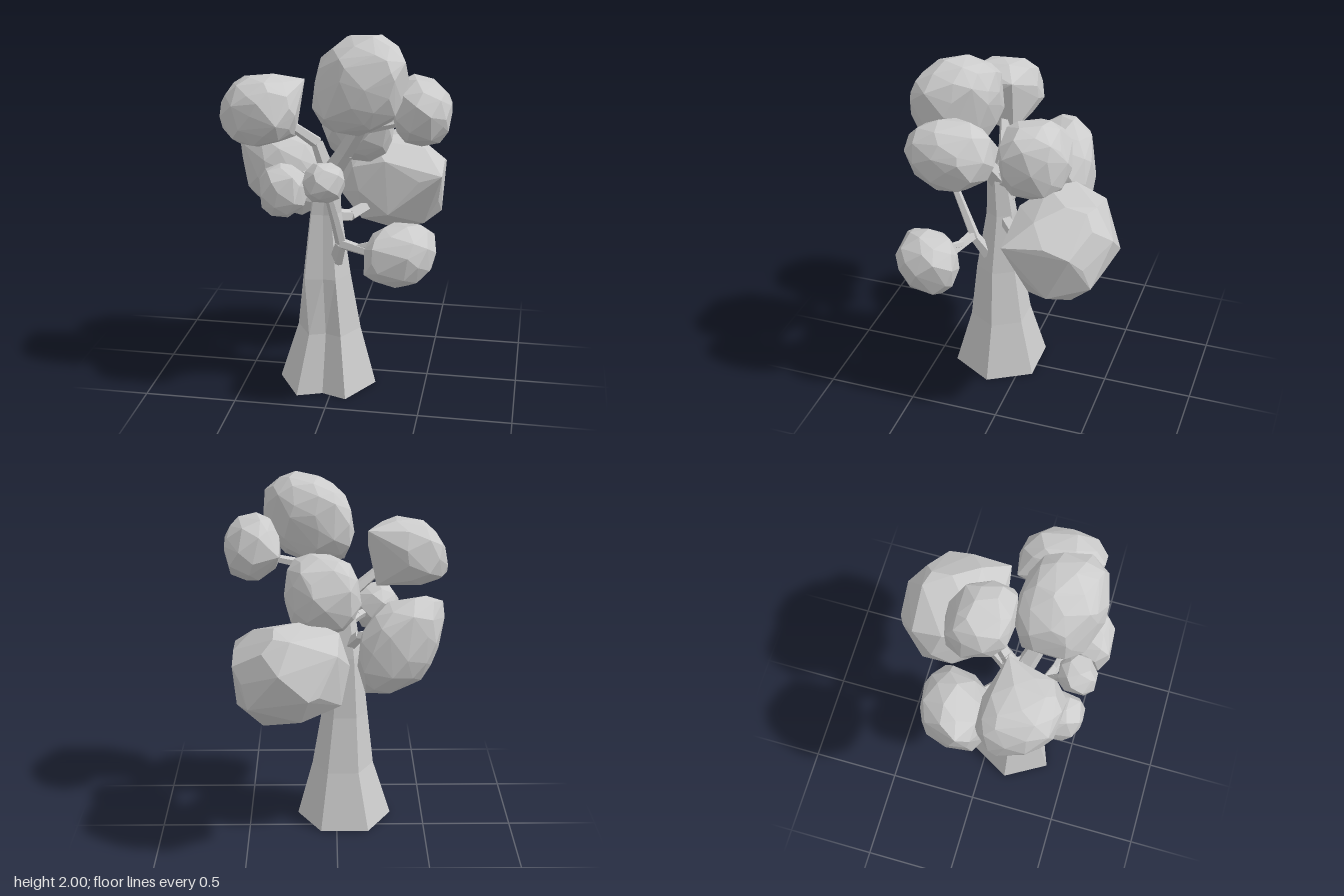
import * as THREE from 'three';
import { ConvexGeometry } from 'three/addons/geometries/ConvexGeometry.js';

const material = new THREE.MeshStandardMaterial({ color: 0xcccccc, flatShading: true, side: THREE.DoubleSide });

function seeded(seed) {
  let s = seed * 7919 + 17;
  return () => (s = (s * 16807) % 2147483647) / 2147483647;
}

function part(name, geometry) {
  const mesh = new THREE.Mesh(geometry, material);
  mesh.name = name;
  return mesh;
}

// Faceted leaf clump: a lumpy hull, skewed by (xy, xz, zy), fitted to its centre and half sizes,
// with a few extra corners that bulge out of it
function clump(name, centre, half, [xy, xz, zy], count, corners, seed) {
  const random = seeded(seed);
  const points = [];
  const boxy = (v) => Math.sign(v) * Math.abs(v) ** 0.84;
  for (let i = 0; i < count; i++) {
    const y = 1 - (2 * (i + 0.5)) / count;
    const a = i * 2.39996 + (random() - 0.5) * 0.5 + seed;
    const r = Math.sqrt(1 - y * y);
    const k = 0.97 + random() * 0.08;
    const p = new THREE.Vector3(boxy(r * Math.cos(a)), boxy(y), boxy(r * Math.sin(a))).multiplyScalar(k);
    points.push(new THREE.Vector3(p.x + xy * p.y + xz * p.z, p.y + xy * p.x + zy * p.z, p.z + xz * p.x + zy * p.y));
  }
  const bounds = new THREE.Box3().setFromPoints(points);
  const middle = bounds.getCenter(new THREE.Vector3());
  const scale = new THREE.Vector3(...half).multiplyScalar(2).divide(bounds.getSize(new THREE.Vector3()));
  for (const p of points) p.sub(middle).multiply(scale).add(new THREE.Vector3(...centre));
  for (const c of corners) points.push(new THREE.Vector3(...c));
  return part(name, new ConvexGeometry(points));
}

// Branch: tapered five-sided segments through a few points
function branch(name, path, r0, r1) {
  const group = new THREE.Group();
  group.name = name;
  const n = path.length - 1;
  for (let i = 0; i < n; i++) {
    const a = new THREE.Vector3(...path[i]);
    const d = new THREE.Vector3(...path[i + 1]).sub(a);
    const radius = (t) => r0 + (r1 - r0) * t;
    const geometry = new THREE.CylinderGeometry(radius((i + 1) / n), radius(i / n), d.length(), 5);
    const mesh = part(name + 'Segment', geometry);
    mesh.position.copy(a).addScaledVector(d, 0.5);
    mesh.quaternion.setFromUnitVectors(new THREE.Vector3(0, 1, 0), d.normalize());
    group.add(mesh);
  }
  return group;
}

// Trunk: stacked hexagons, open below, with a groove in the front side and a ridge higher up
function trunk() {
  const rings = [ // y, radius, centre x, centre z
    [0, 0.27, -0.045, 0.15], [0.33, 0.175, -0.037, 0.147], [0.65, 0.13, -0.047, 0.158],
    [1.0, 0.085, -0.055, 0.145], [1.27, 0.06, -0.04, 0.16],
  ];
  const lower = [[0, 1], [60, 1], [90, 0.68], [120, 1], [180, 1], [240, 1], [300, 1]];
  const upper = [[0, 1], [60, 1], [92, 0.83], [130, 1.22], [180, 1], [240, 1], [300, 1]];
  const n = lower.length;
  const position = [];
  const index = [];
  rings.forEach(([y, r, cx, cz], j) => {
    (j < 2 ? lower : upper).forEach(([deg, k], i) => {
      const a = THREE.MathUtils.degToRad(deg);
      position.push(cx + r * k * Math.cos(a), y, cz + r * k * Math.sin(a));
      if (j === 0) return;
      const p = (j - 1) * n + i, q = (j - 1) * n + ((i + 1) % n);
      index.push(p, p + n, q, q, p + n, q + n);
    });
  });
  const top = (rings.length - 1) * n;
  for (let i = 1; i < n - 1; i++) index.push(top, top + i + 1, top + i);
  const geometry = new THREE.BufferGeometry();
  geometry.setAttribute('position', new THREE.Float32BufferAttribute(position, 3));
  geometry.setIndex(index);
  geometry.computeVertexNormals();
  return part('trunk', geometry);
}

export function createModel() {
  const tree = new THREE.Group();
  tree.name = 'tree';
  tree.add(trunk());

  // Branches: name, path, start and end radius
  const branches = [
    ['topBranch', [[-0.04, 1.2, 0.16], [0.06, 1.36, 0.22], [0.17, 1.55, 0.3]], 0.058, 0.038],
    ['upperLeftBranch', [[0.1, 1.42, 0.24], [0.18, 1.5, 0.24], [0.4, 1.55, 0.23]], 0.035, 0.022],
    ['upperRightBranch', [[-0.04, 1.22, 0.15], [-0.1, 1.38, 0.14], [-0.28, 1.52, 0.2]], 0.045, 0.025],
    ['lowerRightBranch', [[-0.06, 1.05, 0.13], [-0.13, 1.14, 0.06], [-0.25, 1.17, -0.05]], 0.04, 0.025],
    ['backBranch', [[-0.04, 1.18, 0.14], [0, 1.27, 0.06], [0.05, 1.35, -0.02]], 0.045, 0.03],
    ['lowBackBranch', [[-0.03, 0.97, 0.12], [0.06, 0.945, 0.04], [0.16, 0.97, -0.12]], 0.04, 0.028],
    ['lowFrontBranch', [[0.01, 0.74, 0.21], [0.05, 0.87, 0.28], [0.28, 0.84, 0.36]], 0.04, 0.022],
    ['lowFrontFork', [[0.14, 0.86, 0.31], [0.28, 0.92, 0.34]], 0.022, 0.015],
    ['frontBranch', [[0.05, 0.86, 0.27], [0.03, 1.02, 0.34], [0.0, 1.22, 0.43]], 0.03, 0.02],
    ['smallRightBranch', [[-0.05, 1.17, 0.17], [-0.12, 1.19, 0.26], [-0.2, 1.2, 0.36]], 0.032, 0.022],
  ];
  for (const b of branches) tree.add(branch(...b));

  // Leaf clumps: name, centre, half sizes, skew, point count, extra corners
  const clumps = [
    ['topLeaves', [0.15, 1.745, 0.31], [0.25, 0.255, 0.22], [0.09, 0.08, -0.03], 64,
      [[-0.06, 1.83, 0.27], [0.1, 1.99, 0.27]]],
    ['upperLeftLeaves', [0.46, 1.605, 0.23], [0.155, 0.175, 0.225], [-0.04, 0.03, 0.03], 40,
      [[0.31, 1.6, 0.03], [0.6, 1.6, 0.38], [0.61, 1.63, 0.14]]],
    ['upperRightLeaves', [-0.395, 1.575, 0.245], [0.215, 0.183, 0.205], [0.04, 0.11, 0], 50,
      [[-0.17, 1.72, 0.12], [-0.22, 1.41, 0.13], [-0.61, 1.47, 0.18]]],
    ['lowerRightLeaves', [-0.345, 1.16, -0.115], [0.233, 0.27, 0.195], [-0.15, -0.1, 0], 54,
      [[-0.57, 1.38, -0.05]]],
    ['backLeaves', [0.075, 1.435, -0.1], [0.205, 0.21, 0.19], [0, 0.05, 0.06], 50,
      [[0.26, 1.48, 0.05]]],
    ['bigBackLeaves', [0.24, 1.065, -0.305], [0.305, 0.265, 0.28], [-0.04, 0.04, 0], 28,
      [[0.55, 1.16, -0.06], [0.545, 1.15, -0.42], [0.33, 1.31, -0.45], [0.15, 1.02, -0.59]]],
    ['lowFrontLeaves', [0.39, 0.88, 0.41], [0.18, 0.165, 0.182], [0, -0.15, 0], 40, []],
    ['smallRightLeaves', [-0.23, 1.195, 0.405], [0.13, 0.135, 0.14], [0, 0.05, 0], 32, []],
    ['smallFrontLeaves', [-0.005, 1.26, 0.455], [0.105, 0.1, 0.105], [0, -0.04, 0], 30, []],
  ];
  clumps.forEach((c, i) => tree.add(clump(...c, i + 1)));
  return tree;
}
